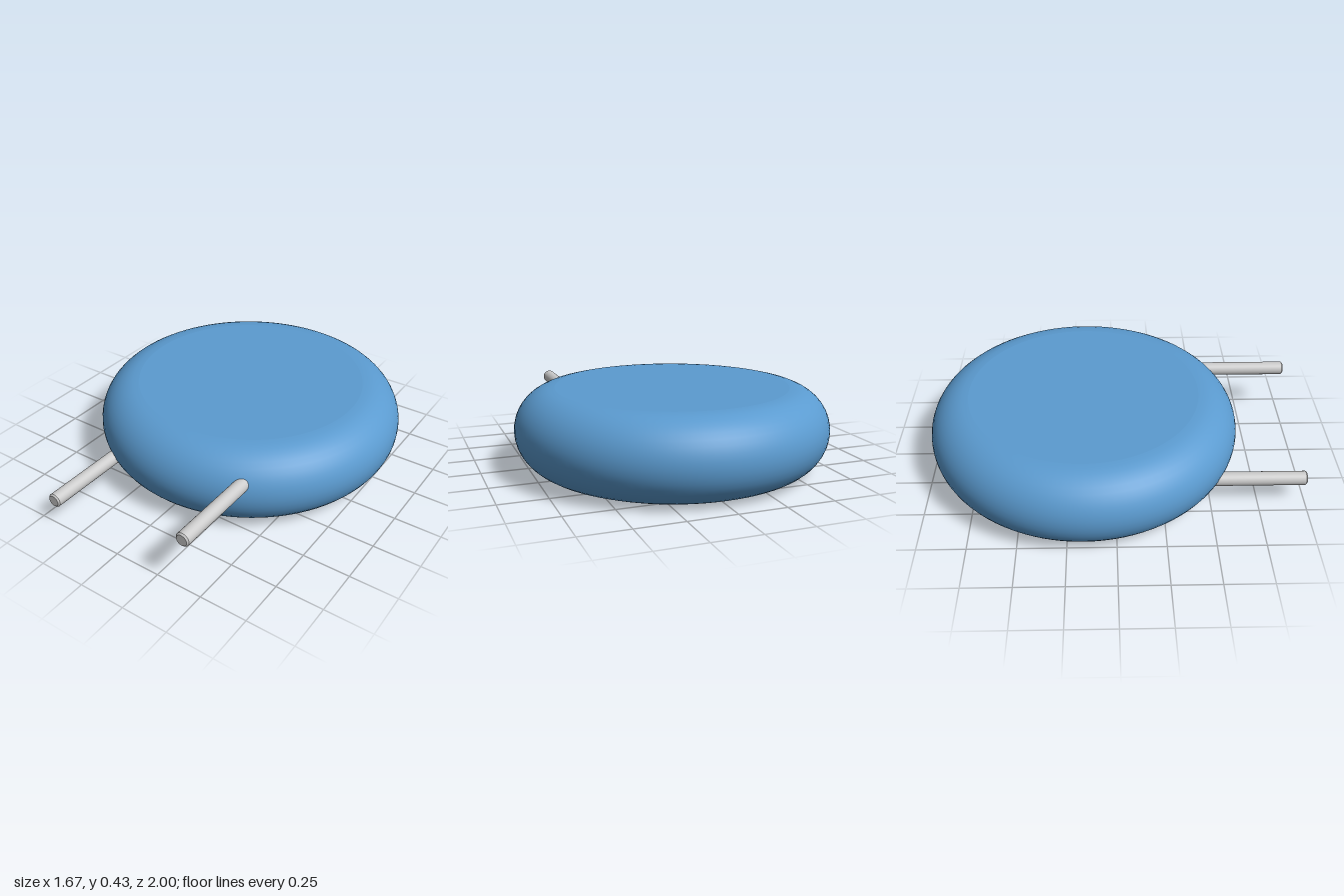
import * as THREE from 'three';

const RADIUS = 0.834, HEIGHT = 0.433, EDGE = HEIGHT / 2, BODY_Z = -0.166;
const LEAD_R = 0.037, LEAD_START = 0.45, LEAD_END = 1, BEVEL = 0.008;

// Lathe whose flat caps stay crisp: cap and side profiles are separate strips
function discBody(material) {
  const body = new THREE.Group();
  body.name = 'body';
  const flat = RADIUS - EDGE;

  // Fully rounded rim
  const rim = [];
  for (let i = 0; i <= 20; i++) {
    const a = -Math.PI / 2 + (Math.PI * i) / 20;
    rim.push(new THREE.Vector2(flat + EDGE * Math.cos(a), EDGE + EDGE * Math.sin(a)));
  }
  const rimMesh = new THREE.Mesh(new THREE.LatheGeometry(rim, 96), material);
  rimMesh.name = 'roundedRim';
  body.add(rimMesh);

  // Flat faces
  for (const [name, y, turn] of [['topFace', HEIGHT, -1], ['bottomFace', 0, 1]]) {
    const face = new THREE.Mesh(new THREE.CircleGeometry(flat, 96), material);
    face.name = name;
    face.rotation.x = (turn * Math.PI) / 2;
    face.position.y = y;
    body.add(face);
  }
  body.position.z = BODY_Z;
  return body;
}

// Straight wire along z with a slightly bevelled free end
function lead(name, x, y, material) {
  const group = new THREE.Group();
  group.name = name;
  const add = (part, rFront, rBack, z0, z1, open) => {
    const geo = new THREE.CylinderGeometry(rFront, rBack, z1 - z0, 32, 1, open);
    geo.rotateX(Math.PI / 2);
    const mesh = new THREE.Mesh(geo, material);
    mesh.name = part;
    mesh.position.z = (z0 + z1) / 2;
    group.add(mesh);
  };
  add('wire', LEAD_R, LEAD_R, LEAD_START, LEAD_END - BEVEL, true);
  add('wireTip', LEAD_R - BEVEL, LEAD_R, LEAD_END - BEVEL, LEAD_END, false);
  group.position.set(x, y, 0);
  return group;
}

export function createModel() {
  const model = new THREE.Group();
  model.name = 'discComponent';
  const blue = new THREE.MeshStandardMaterial({ color: 0x5b9bd0 });
  const grey = new THREE.MeshStandardMaterial({ color: 0xcccccc });

  model.add(discBody(blue));
  // Leads leave the body at staggered heights
  model.add(lead('leftLead', 0.405, 0.295, grey));
  model.add(lead('rightLead', -0.405, 0.14, grey));
  return model;
}
